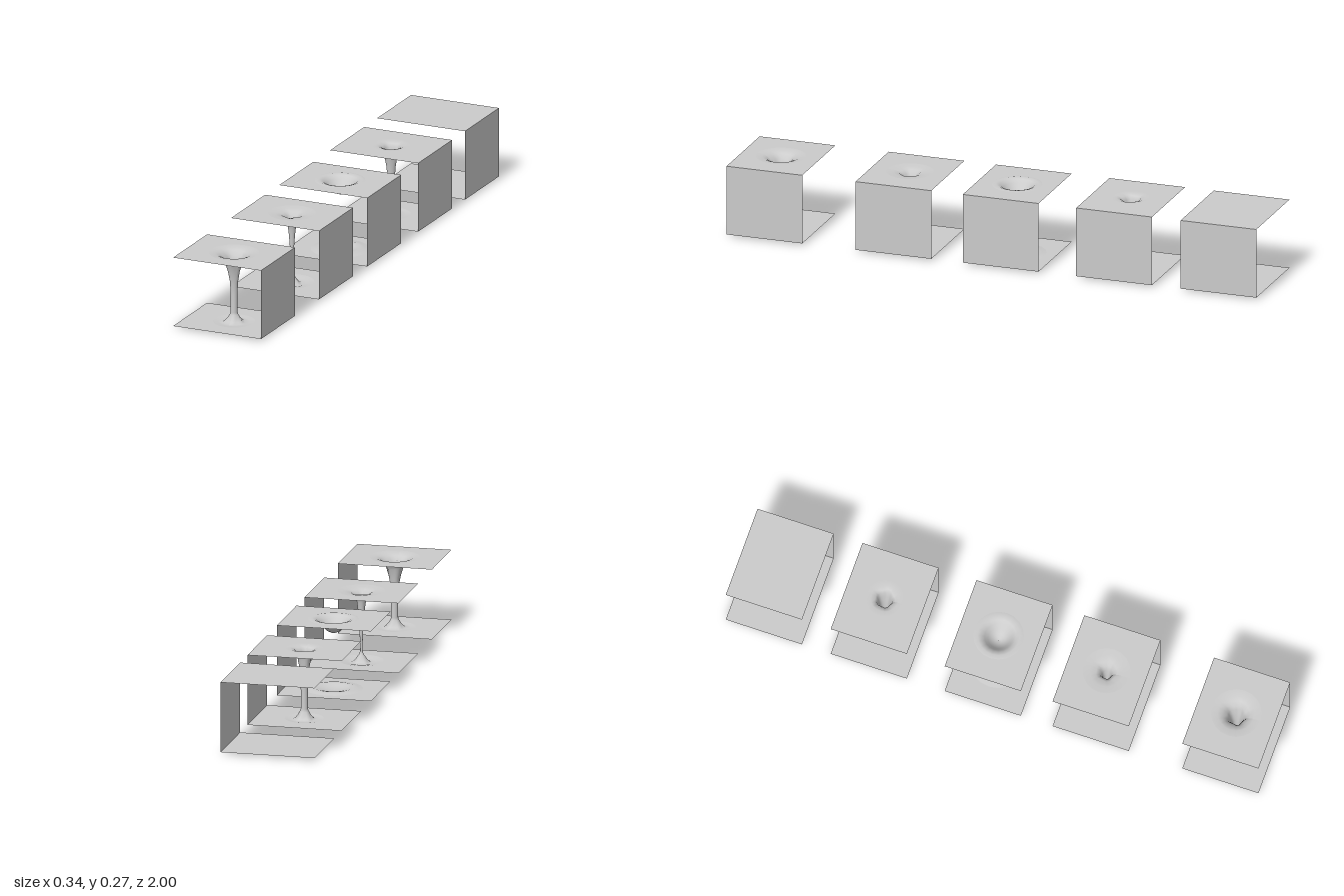
import * as THREE from 'three';

const W = 0.344, D = 0.286, BOTTOM = 0.01, TOP = 0.266, SIDES = 20;
const material = new THREE.MeshStandardMaterial({ color: 0xcccccc, side: THREE.DoubleSide });

// Profiles are [radius, height], from the rim in the upper sheet downwards.
const wideColumn = [
  [0.09, TOP], [0.066, 0.264], [0.05, 0.257], [0.036, 0.243], [0.029, 0.225], [0.021, 0.195],
  [0.014, 0.155], [0.0125, 0.11], [0.0125, 0.045], [0.015, 0.036], [0.022, 0.024],
  [0.03, 0.013], [0.04, 0.007], [0.055, 0.008], [0.075, BOTTOM],
];
const thinColumn = [
  [0.085, TOP], [0.06, 0.264], [0.038, 0.26], [0.024, 0.249], [0.016, 0.225], [0.011, 0.185],
  [0.007, 0.13], [0.005, 0.08], [0.004, 0.045], [0.008, 0.033], [0.017, 0.02],
  [0.026, 0.007], [0.036, 0.002], [0.05, 0.006], [0.08, BOTTOM],
];
const straightColumn = [
  [0.07, TOP], [0.05, 0.266], [0.036, 0.261], [0.028, 0.249], [0.023, 0.225], [0.017, 0.19],
  [0.013, 0.145], [0.0125, 0.1], [0.0125, 0.045], [0.016, 0.035], [0.023, 0.022],
  [0.031, 0.01], [0.04, 0.006], [0.055, 0.008], [0.07, BOTTOM],
];
const bowl = [
  [0.09, TOP], [0.075, 0.268], [0.062, 0.264], [0.05, 0.253], [0.038, 0.237], [0.024, 0.223],
  [0.011, 0.216], [0, 0.214],
];
const ripple = [
  [0.105, BOTTOM], [0.088, 0.0125], [0.072, 0.016], [0.056, 0.013], [0.04, 0.008],
  [0.02, 0.005], [0, 0.004],
];

function addMesh(group, name, geometry) {
  const mesh = new THREE.Mesh(geometry, material);
  mesh.name = name;
  group.add(mesh);
  return mesh;
}

// Flat sheet with a round opening that meets the rim of a surface of revolution
function sheet(y, holeRadius) {
  const shape = new THREE.Shape([
    new THREE.Vector2(-W / 2, -D / 2), new THREE.Vector2(W / 2, -D / 2),
    new THREE.Vector2(W / 2, D / 2), new THREE.Vector2(-W / 2, D / 2),
  ]);
  if (holeRadius) {
    const ring = [];
    for (let i = 0; i < SIDES; i++) {
      const a = -i / SIDES * Math.PI * 2;
      ring.push(new THREE.Vector2(Math.sin(a) * holeRadius, Math.cos(a) * holeRadius));
    }
    shape.holes.push(new THREE.Path(ring));
  }
  return new THREE.ShapeGeometry(shape).rotateX(-Math.PI / 2).translate(0, y, 0);
}

// Surface of revolution; the flares get a slightly crumpled outline
function revolve(profile, wobble = 0) {
  const geometry = new THREE.LatheGeometry(profile.map(([r, y]) => new THREE.Vector2(r, y)), SIDES);
  const p = geometry.attributes.position;
  for (let i = 0; i < p.count; i++) {
    const x = p.getX(i), z = p.getZ(i), r = Math.hypot(x, z), a = Math.atan2(x, z);
    const flare = Math.max(0, 1 - Math.abs(r - 0.033) / 0.02);
    const k = 1 + wobble * flare * Math.sin(5 * a + 0.7);
    p.setX(i, x * k);
    p.setZ(i, z * k);
  }
  if (wobble) geometry.computeVertexNormals();
  return geometry;
}

export function createModel() {
  const model = new THREE.Group();
  const stages = [
    { name: 'wideColumnStage', z: 0.857, column: wideColumn },
    { name: 'thinColumnStage', z: 0.37, column: thinColumn },
    { name: 'bowlStage', z: -0.035, dish: bowl, floor: ripple },
    { name: 'straightColumnStage', z: -0.463, column: straightColumn },
    { name: 'plainStage', z: -0.857 },
  ];
  for (const { name, z, column, dish, floor } of stages) {
    const stage = new THREE.Group();
    stage.name = name;
    stage.position.z = z;
    const topRim = (column || dish)?.[0][0];
    const bottomRim = column ? column[column.length - 1][0] : floor?.[0][0];
    addMesh(stage, 'upperSheet', sheet(TOP, topRim));
    addMesh(stage, 'lowerSheet', sheet(BOTTOM, bottomRim));

    // Single wall joining the two sheets on the left
    const wall = new THREE.PlaneGeometry(D, TOP - BOTTOM).rotateY(Math.PI / 2);
    addMesh(stage, 'sideWall', wall.translate(W / 2, (TOP + BOTTOM) / 2, 0));

    if (column) addMesh(stage, 'funnelColumn', revolve(column, 0.1));
    if (dish) addMesh(stage, 'bowl', revolve(dish));
    if (floor) addMesh(stage, 'floorRipple', revolve(floor));
    model.add(stage);
  }
  return model;
}
